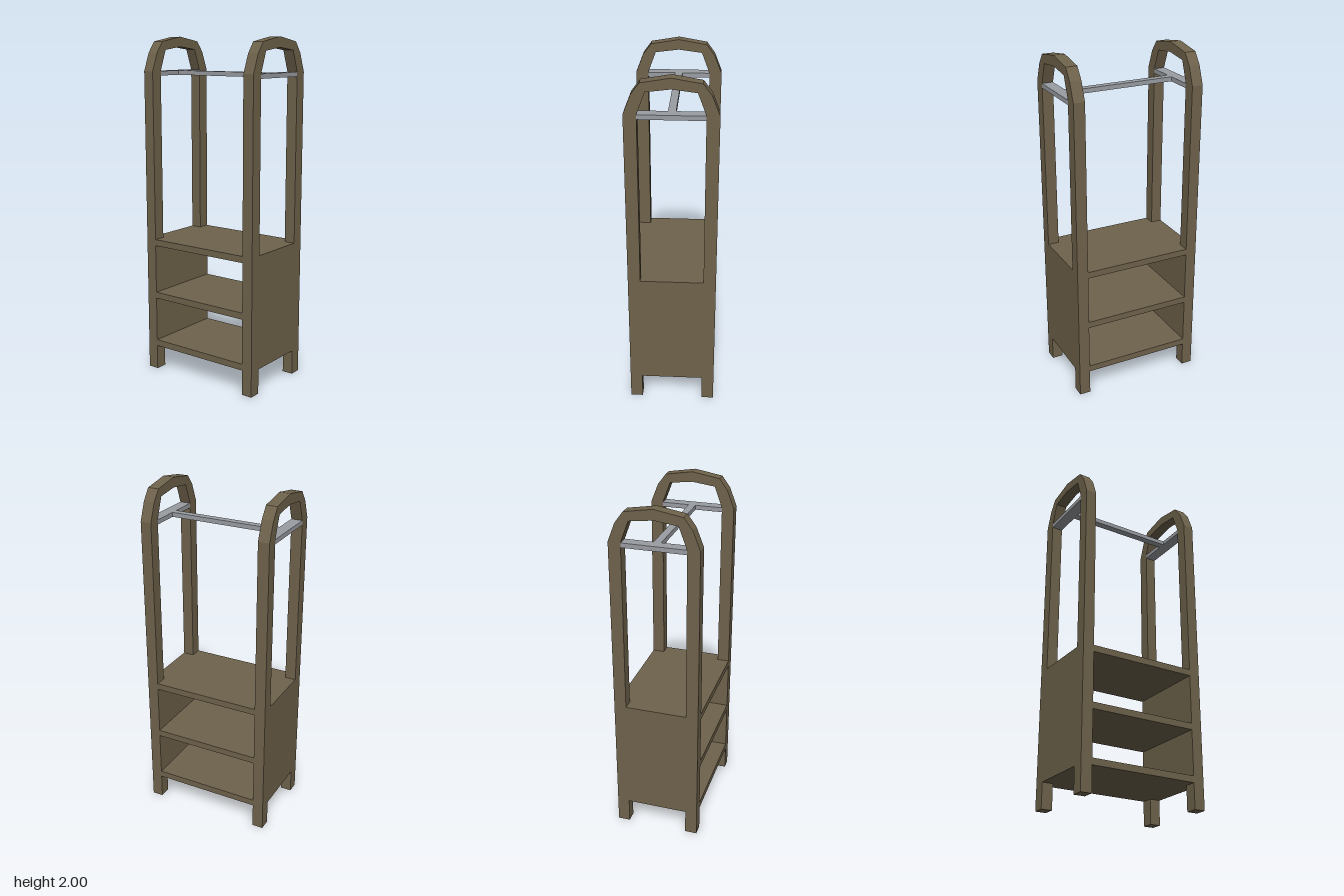
import * as THREE from 'three';

const HALF_W = 0.248, INNER_W = 0.178, HALF_D = 0.385, POST = 0.065;
const SHELF_T = 0.038, PANEL_BOTTOM = 0.147, PANEL_TOP = 0.815;

const wood = new THREE.MeshStandardMaterial({ color: 0x6e624b });
const metal = new THREE.MeshStandardMaterial({ color: 0x999ca1 });

// Completes a half outline (ending on the centre line) by mirroring it in x
const mirrored = (half) => [
  ...half,
  ...half.filter(([x]) => x !== 0).reverse().map(([x, y]) => [-x, y]),
].map(([x, y]) => new THREE.Vector2(x, y));

function box(name, w, h, d, x, y, z, material) {
  const mesh = new THREE.Mesh(new THREE.BoxGeometry(w, h, d), material);
  mesh.name = name;
  mesh.position.set(x, y, z);
  return mesh;
}

// Arched end: two posts, solid lower panel, feet and faceted arch in one board
function endFrameGeometry() {
  const outline = new THREE.Shape(mirrored([
    [INNER_W, PANEL_BOTTOM], [INNER_W, 0], [HALF_W, 0], [HALF_W, 1.805],
    [0.207, 1.91], [0.16, 1.973], [0, 2],
  ]));
  outline.holes.push(new THREE.Path(mirrored([
    [INNER_W, PANEL_TOP], [INNER_W, 1.805], [0.133, 1.925], [0, 1.942],
  ])));
  const geometry = new THREE.ExtrudeGeometry(outline, { depth: POST, bevelEnabled: false });
  return geometry.translate(0, 0, -POST / 2);
}

export function createModel() {
  const group = new THREE.Group();
  group.name = 'clothesRack';

  const frame = endFrameGeometry();
  const frameZ = HALF_D - POST / 2;
  const innerDepth = 2 * (HALF_D - POST);
  const railY = 1.792, railT = 0.026;

  // End frames, each with a metal crossbar between its posts
  for (const [end, side] of [['front', 1], ['back', -1]]) {
    const mesh = new THREE.Mesh(frame, wood);
    mesh.name = end + 'Frame';
    mesh.position.z = side * frameZ;
    group.add(mesh);
    group.add(box(end + 'Crossbar', 2 * INNER_W, railT, POST, 0, railY, side * frameZ, metal));
  }

  // Hanging rail joining the crossbars
  group.add(box('hangingRail', 0.042, railT, innerDepth, 0, railY, 0, metal));

  // Three shelves between the end frames
  [['bottomShelf', 0.185], ['middleShelf', 0.488], ['topShelf', PANEL_TOP]].forEach(([name, top]) => {
    group.add(box(name, 2 * HALF_W, SHELF_T, innerDepth, 0, top - SHELF_T / 2, 0, wood));
  });

  return group;
}
